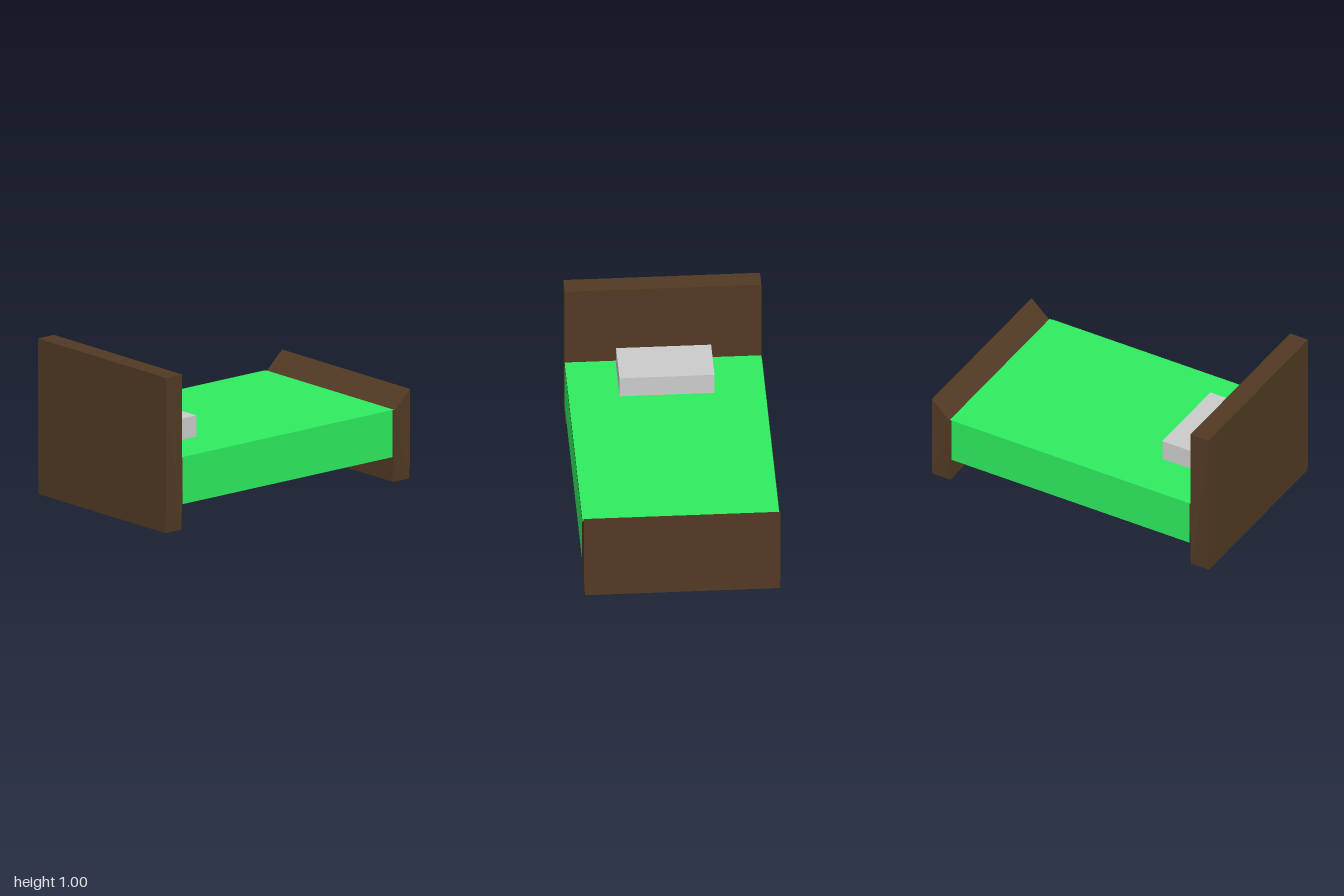
import * as THREE from 'three';

const HALF = 0.615; // half width of the bed in z

export function createModel() {
  const bed = new THREE.Group();
  bed.name = 'bed';
  const wood = new THREE.MeshStandardMaterial({ color: 0x513a23, flatShading: true });
  const cloth = new THREE.MeshStandardMaterial({ color: 0x2eec5f, flatShading: true, side: THREE.DoubleSide });
  const grey = new THREE.MeshStandardMaterial({ color: 0xcccccc, flatShading: true });

  const add = (name, geometry, material) => {
    const mesh = new THREE.Mesh(geometry, material);
    mesh.name = name;
    bed.add(mesh);
  };
  const box = (name, material, [x0, x1], [y0, y1], [z0, z1]) =>
    add(name, new THREE.BoxGeometry(x1 - x0, y1 - y0, z1 - z0)
      .translate((x0 + x1) / 2, (y0 + y1) / 2, (z0 + z1) / 2), material);

  // End boards: a side profile swept across the width, slightly narrower at the floor
  const board = (name, points) => {
    const shape = new THREE.Shape(points.map(([x, y]) => new THREE.Vector2(x, y)));
    const geometry = new THREE.ExtrudeGeometry(shape, { depth: 2 * HALF, bevelEnabled: false });
    geometry.translate(0, 0, -HALF);
    const p = geometry.attributes.position;
    for (let i = 0; i < p.count; i++) {
      if (p.getY(i) < 0.01) p.setZ(i, p.getZ(i) * 0.99);
    }
    geometry.computeVertexNormals();
    add(name, geometry, wood);
  };
  board('headboard', [[-1, 0], [-0.87, 0], [-0.87, 0.12], [-0.87, 1.005], [-1, 1.005], [-1, 0.12]]);
  board('footboard', [[0.87, 0], [1, 0], [1, 0.12], [1, 0.58], [0.87, 0.46], [0.87, 0.12]]);

  // Platform between the boards
  box('platform', wood, [-0.875, 0.875], [0.23, 0.46], [-0.608, 0.608]);

  // Blanket: a top sheet and a flap hanging down each side
  add('blanketTop', new THREE.PlaneGeometry(1.74, 2 * HALF).rotateX(-Math.PI / 2).translate(0, 0.468, 0), cloth);
  for (const side of [-1, 1]) {
    add(side > 0 ? 'frontFlap' : 'backFlap',
      new THREE.PlaneGeometry(1.72, 0.305).translate(-0.005, 0.3175, side * (HALF + 0.002)), cloth);
  }

  // Pillow
  box('pillow', grey, [-0.81, -0.48], [0.46, 0.605], [-0.297, 0.297]);

  return bed;
}
